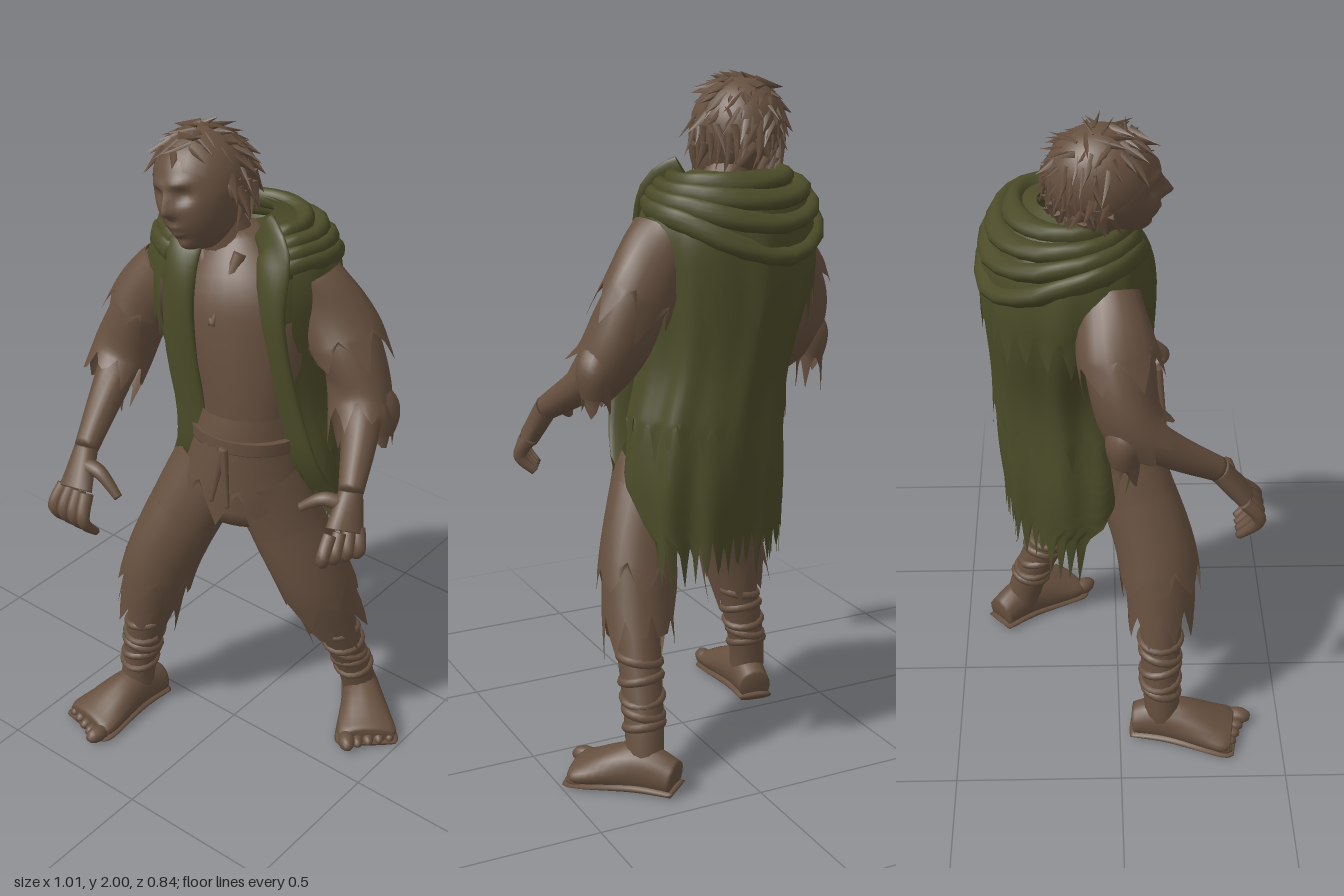
import * as THREE from 'three';

let seed = 7;
const rand = () => (seed = (seed * 16807) % 2147483647) / 2147483647;
const V = (p) => new THREE.Vector3(...p);
const mix = (a, b, t) => a.map((v, i) => v + (b[i] - v) * t);
const shift = (a, b, k = 1) => a.map((v, i) => v + b[i] * k);

// Smooth interpolation through rows of numbers, t in 0..1
function sample(rows, t) {
  const s = t * (rows.length - 1), i = Math.min(Math.floor(s), rows.length - 2), f = s - i;
  const at = (k) => rows[Math.max(0, Math.min(rows.length - 1, k))];
  return rows[i].map((b, k) => {
    const a = at(i - 1)[k], c = at(i + 1)[k], d = at(i + 2)[k];
    return b + 0.5 * f * (c - a + f * (2 * a - 5 * b + 4 * c - d + f * (3 * (b - c) + d - a)));
  });
}

// Surface from rows of vertices; wrapped rows close into a tube, caps use the last two vertices
function grid(pos, rows, cols, wrap, caps) {
  const index = [], stride = wrap ? cols : cols + 1;
  for (let i = 0; i < rows; i++) for (let j = 0; j < cols; j++) {
    const a = i * stride + j, b = i * stride + (wrap ? (j + 1) % cols : j + 1);
    index.push(a, b, a + stride, b, b + stride, a + stride);
  }
  const n = pos.length / 3;
  if (caps) for (let j = 0; j < cols; j++) {
    const k = (j + 1) % cols;
    index.push(n - 2, k, j, n - 1, rows * cols + j, rows * cols + k);
  }
  const g = new THREE.BufferGeometry();
  g.setAttribute('position', new THREE.Float32BufferAttribute(pos, 3));
  g.setIndex(index);
  g.computeVertexNormals();
  return g;
}

// Torn edge: uneven pointed tongues, four vertices wide
const tear = (rag, j) => rag * (0.9 - 0.6 * Math.abs(j % 4 - 2)) * (0.3 + 0.9 * rand());

// Loft along a path; radii are one number or a [side, ref] pair per point; rag tears the far end
function limb(path, radii, { ref = [0, 0, 1], seg = 14, from = 0, to = 1, grow = 0, flare = 0, rag = 0, fold = 0 } = {}) {
  const pts = path.map((p, i) => [...p, ...[radii[i], radii[i]].flat().slice(0, 2)]);
  const rows = 18, pos = [], step = 0.01 * Math.sign(to - from);
  const centre = (t) => V(sample(pts, THREE.MathUtils.clamp(t, 0, 1)).slice(0, 3));
  for (let i = 0; i <= rows; i++) {
    const f = i / rows, t = from + (to - from) * f, [, , , ra, rb] = sample(pts, t);
    const T = centre(t + step).sub(centre(t - step)).normalize();
    const a = V(ref).cross(T).normalize(), b = T.clone().cross(a);
    for (let j = 0; j < seg; j++) {
      const th = (j / seg) * Math.PI * 2, extra = grow + flare * f;
      const k = 1 + fold * (Math.sin(3 * th + 9 * t) + 0.7 * Math.sin(14 * t + 2 * th));
      const p = centre(t).addScaledVector(a, Math.cos(th) * (ra + extra) * k).addScaledVector(b, Math.sin(th) * (rb + extra) * k);
      if (rag && i === rows) p.addScaledVector(T, tear(rag, j));
      pos.push(p.x, Math.max(0, p.y), p.z);
    }
  }
  if (!rag) pos.push(...centre(from).toArray(), ...centre(to).toArray());
  return grid(pos, rows, seg, true, !rag);
}

// Cloak profile from neck to hem: height, half width, half depth, front opening angle
const cloakLevels = [[1.74, 0.08, 0.08, 0.7], [1.69, 0.2, 0.165, 0.55], [1.6, 0.25, 0.205, 0.45], [1.45, 0.255, 0.22, 0.45],
  [1.2, 0.22, 0.21, 0.6], [1, 0.245, 0.21, 0.75], [0.86, 0.26, 0.205, 1.25], [0.69, 0.255, 0.19, 1.85]];
const turn = 0.35;

// Point on the cloak: t runs downward, u runs round the back from one front edge to the other
function cloakPoint(t, u, offset = 0, extraOpen = 0) {
  const [y, rx, rz, edge] = sample(cloakLevels, t), open = edge + extraOpen;
  const angle = open + u * 2 * (Math.PI - open);
  const k = 1 + 0.04 * t * (Math.sin(9 * angle + 3 * t) + 0.6 * Math.sin(14 * angle - 2 * t));
  const p = new THREE.Vector3(Math.sin(angle) * (rx + 2 * offset) * k, y, Math.cos(angle) * (rz + offset) * k);
  p.applyAxisAngle(new THREE.Vector3(0, 1, 0), turn);
  return [p.x - 0.07 * THREE.MathUtils.smoothstep(y, 1, 1.5), p.y, p.z - 0.14];
}

function cloakLayer(from, to, offset, extraOpen, rag) {
  const pos = [], rows = 28, cols = 72;
  for (let i = 0; i <= rows; i++) for (let j = 0; j <= cols; j++) {
    const [x, y, z] = cloakPoint(from + (to - from) * i / rows, j / cols, offset, extraOpen);
    pos.push(x, i === rows ? y - tear(rag, j) : y, z);
  }
  return grid(pos, rows, cols, false, false);
}

export function createModel() {
  seed = 7;
  const brown = new THREE.MeshStandardMaterial({ color: 0x66503f, side: THREE.DoubleSide, name: 'earth brown' });
  const olive = new THREE.MeshStandardMaterial({ color: 0x4b4b29, side: THREE.DoubleSide, name: 'olive cloth' });
  const model = new THREE.Group();
  model.name = 'raggedWanderer';
  const add = (name, geo, mat = brown, parent = model) => {
    const m = new THREE.Mesh(geo, mat);
    m.name = name;
    parent.add(m);
    return m;
  };
  const group = (name, position) => {
    const g = new THREE.Group();
    g.name = name;
    g.position.set(...position);
    model.add(g);
    return g;
  };

  // Torso, tunic skirt, belt and neck
  const ref = [Math.sin(turn), 0, Math.cos(turn)];
  const spine = [[0.01, 0.82, -0.03], [0.02, 1.2, -0.05], [-0.04, 1.5, -0.1], [-0.08, 1.69, -0.12]];
  const girth = [[0.13, 0.11], [0.15, 0.13], [0.205, 0.165], [0.09, 0.08]];
  add('tunic', limb(spine, girth, { ref, seg: 28, fold: 0.012 }));
  add('tunicSkirt', limb(spine, girth, { ref, seg: 36, from: 0.32, to: 0.13, grow: 0.006, flare: 0.045, rag: 0.12, fold: 0.025 }));
  add('belt', limb(spine, girth, { ref, seg: 28, from: 0.24, to: 0.27, grow: 0.03 }));
  add('neck', limb([[-0.07, 1.6, -0.1], [-0.13, 1.78, -0.05]], [0.085, 0.064]));
  for (const s of [-1, 1]) {
    add('beltCord', limb([[0.06, 1.12, 0.12], [0.06 + s * 0.03, 0.94, 0.14]], [0.014, 0.007], { seg: 6 }));
    add('tunicCollar', limb([[-0.07 + s * 0.07, 1.66, -0.03], [-0.02, 1.47, 0.07]], [0.02, 0.01], { seg: 8 }));
  }

  // Legs with torn trousers, shin wraps and bare feet
  const legs = [
    { side: 'right', inner: 1, yaw: -0.15, hip: [-0.07, 0.98, -0.01], knee: [-0.2, 0.62, 0.11], ankle: [-0.29, 0.2, 0.125], sole: [-0.3, 0, 0.14] },
    { side: 'left', inner: -1, yaw: 0.72, hip: [0.08, 0.98, -0.04], knee: [0.21, 0.62, -0.12], ankle: [0.265, 0.2, -0.28], sole: [0.28, 0, -0.32] }];
  for (const { side, inner, yaw, hip, knee, ankle, sole } of legs) {
    const path = [hip, knee, ankle, [sole[0], 0.04, sole[2]]];
    const cloth = [0.122, 0.098, 0.085, 0.085], shin = [0.1, 0.075, 0.057, 0.056];
    add(side + 'Trouser', limb(path, cloth, { seg: 32, to: 0.47, flare: 0.01, rag: 0.11, fold: 0.035 }));
    add(side + 'KneeRag', limb(path, cloth, { seg: 28, from: 0.18, to: 0.37, grow: 0.004, flare: 0.018, rag: 0.11, fold: 0.035 }));
    add(side + 'Shin', limb(path, shin, { from: 0.3 }));
    for (let i = 0; i < 5; i++) {
      const t = 0.53 + i * 0.04;
      const wrap = add(side + 'ShinWrap', new THREE.TorusGeometry(sample(shin.map((r) => [r]), t)[0] - 0.004, 0.014, 8, 20));
      wrap.position.set(...sample(path, t));
      wrap.rotation.set(Math.PI / 2 + 0.25 * Math.sin(i * 2), 0.2 * Math.cos(i * 2), 0);
    }
    const foot = group(side + 'Foot', sole);
    foot.rotation.y = yaw;
    const shape = limb([[0, 0.045, -0.095], [0, 0.06, 0.02], [0, 0.034, 0.17], [0, 0.03, 0.21]],
      [0.05, [0.062, 0.075], [0.095, 0.042], [0.085, 0.03]], { ref: [0, 1, 0], seg: 18 });
    add('instep', shape, brown, foot);
    add('sole', shape, brown, foot).scale.set(1.07, 0.25, 1.06);
    for (let i = 0; i < 5; i++) {
      const r = i ? 0.019 : 0.027;
      const toe = add('toe', new THREE.SphereGeometry(r, 10, 8).scale(1, 1, 1.6), brown, foot);
      toe.position.set(inner * (0.068 - i * 0.035), r, 0.222 - i * 0.008);
    }
  }

  // Arms with torn sleeves and hands
  const arms = [
    { side: 'left', path: [[0.14, 1.58, -0.18], [0.25, 1.4, -0.2], [0.33, 1.22, -0.17], [0.43, 1.07, 0.01]],
      knuckle: [0.455, 0.98, 0.07], tip: [0.44, 0.88, 0.07], thumbTip: [0.32, 1.02, 0.1], spread: [0.04, 0, -0.08] },
    { side: 'right', path: [[-0.25, 1.55, -0.03], [-0.35, 1.4, -0.01], [-0.4, 1.21, 0.05], [-0.34, 1.04, 0.27]],
      knuckle: [-0.32, 0.94, 0.345], tip: [-0.3, 0.81, 0.335], thumbTip: [-0.19, 0.94, 0.3], spread: [0.09, 0, 0] }];
  for (const { side, path, knuckle, tip, thumbTip, spread } of arms) {
    const cloth = [0.08, 0.088, 0.082, 0.07], elbow = path[2], wrist = path[3];
    add(side + 'Sleeve', limb(path, cloth, { seg: 28, to: 0.7, flare: 0.008, rag: 0.08, fold: 0.045 }));
    add(side + 'ShoulderRag', limb(path, cloth, { seg: 24, to: 0.34, grow: 0.008, flare: 0.014, rag: 0.1, fold: 0.045 }));
    const hang = shift(elbow, [Math.sign(elbow[0]) * 0.04, 0, -0.04]);
    add(side + 'ElbowRag', limb([shift(elbow, [0, 0.06, 0]), hang, shift(hang, [0, -0.08, 0])], [0.05, 0.055, 0.04], { seg: 16, rag: 0.1 }));
    add(side + 'Forearm', limb(path, [0.08, 0.08, 0.062, 0.036], { from: 0.55 }));
    const across = V(spread).normalize().toArray();
    add(side + 'Palm', limb([wrist, knuckle], [[0.034, 0.036], [0.03, 0.058]], { ref: across }));
    const reach = shift(knuckle, wrist, -1);
    for (let i = 0; i < 4; i++) {
      const k = i / 3 - 0.5;
      add(side + 'Finger', limb([shift(knuckle, spread, k), shift(shift(knuckle, reach, 0.6), spread, k * 1.3), shift(tip, spread, k)],
        [0.021, 0.019, 0.012], { seg: 8, ref: across }));
    }
    const base = mix(wrist, knuckle, 0.4);
    add(side + 'Thumb', limb([base, shift(mix(base, thumbTip, 0.5), [0, 0.03, 0]), thumbTip], [0.026, 0.021, 0.013], { seg: 8, ref: [0, 1, 0] }));
  }

  // Cloak in three torn layers, rolled front edges and a lowered hood in swags
  add('cloak', cloakLayer(0, 1, 0, 0, 0.13), olive);
  add('cloakMiddleLayer', cloakLayer(0.36, 0.68, 0.008, 0.5, 0.1), olive);
  add('shoulderCape', cloakLayer(0, 0.45, 0.014, 0.3, 0.1), olive);
  const steps = [0, 1, 2, 3, 4, 5, 6, 7, 8].map((i) => i / 8);
  for (const u of [0.02, 0.98])
    add('cloakFrontEdge', limb(steps.map((s) => cloakPoint(0.06 + s * 0.7, u)), steps.map(() => [0.055, 0.02]), { seg: 20, rag: 0.12, fold: 0.07 }), olive);
  for (let k = 0; k < 4; k++)
    add('hoodFold', limb(steps.map((u) => cloakPoint(0.09 + k * 0.045 + k * 0.05 * Math.sin(u * Math.PI) ** 4, u, 0.008, 0.25)),
      steps.map((u) => [0.02 + 0.012 * Math.sin(u * Math.PI), 0.03]), { ref: [0, 1, 0], fold: 0.08 }), olive);

  // Head: tapered skull shaped by soft bumps [x, y, width, height, amount]
  const head = group('head', [-0.14, 1.815, -0.03]);
  head.rotation.z = 0.25;
  const bumps = [[0.38, 0.1, 0.2, 0.13, -0.14], [0, -0.02, 0.1, 0.18, 0.17], [0, -0.14, 0.16, 0.09, 0.12], [0.3, 0.3, 0.3, 0.08, 0.07],
    [0, -0.42, 0.22, 0.05, 0.09], [0, -0.55, 0.2, 0.05, 0.09], [0, -0.82, 0.28, 0.14, 0.17]];
  const skull = new THREE.SphereGeometry(1, 72, 56), sp = skull.attributes.position;
  for (let i = 0; i < sp.count; i++) {
    let x = sp.getX(i), y = sp.getY(i), z = sp.getZ(i);
    if (z > 0) for (const [bx, by, w, h, amount] of bumps)
      z += amount * Math.exp(-(((Math.abs(x) - bx) / w) ** 2) - ((y - by) / h) ** 2);
    if (y < 0) { x *= 1 + 0.15 * y; z *= z > 0 ? 1 - 0.1 * y : 1 + 0.35 * y; }
    sp.setXYZ(i, x * 0.118, y * 0.165, z * 0.138);
  }
  skull.computeVertexNormals();
  add('skull', skull, brown, head);
  for (const s of [-1, 1]) {
    const ear = add('ear', new THREE.SphereGeometry(0.036, 14, 10).scale(0.4, 1, 0.65), brown, head);
    ear.position.set(s * 0.116, 0, -0.005);
  }

  // Hair: cap plus scattered pointed locks
  const cap = add('hairCap', new THREE.SphereGeometry(1, 28, 14, 0, Math.PI * 2, 0, 1.75), brown, head);
  cap.scale.set(0.13, 0.15, 0.148);
  cap.position.set(0, 0.024, -0.018);
  cap.rotation.x = -0.6;
  const lock = new THREE.ConeGeometry(0.02, 0.085, 4).translate(0, 0.03, 0).scale(1, 1, 0.45);
  for (let i = 0; i < 180; i++) {
    const y = 1 - (i / 180) * 1.4, r = Math.sqrt(1 - y * y), th = i * 2.4;
    const n = new THREE.Vector3(r * Math.cos(th), y, r * Math.sin(th));
    if (n.z > 0.15 && y < 0.7) continue;
    const down = new THREE.Vector3(rand() - 0.5, -1, rand() - 0.5).projectOnPlane(n).normalize().addScaledVector(n, 0.05 + 0.3 * rand()).normalize();
    const m = add('hairLock', lock, brown, head);
    m.position.set(n.x * 0.127, n.y * 0.162 + 0.005, n.z * 0.15 - 0.014);
    m.quaternion.setFromUnitVectors(new THREE.Vector3(0, 1, 0), down);
    m.scale.setScalar(0.7 + 0.45 * rand());
  }
  return model;
}
